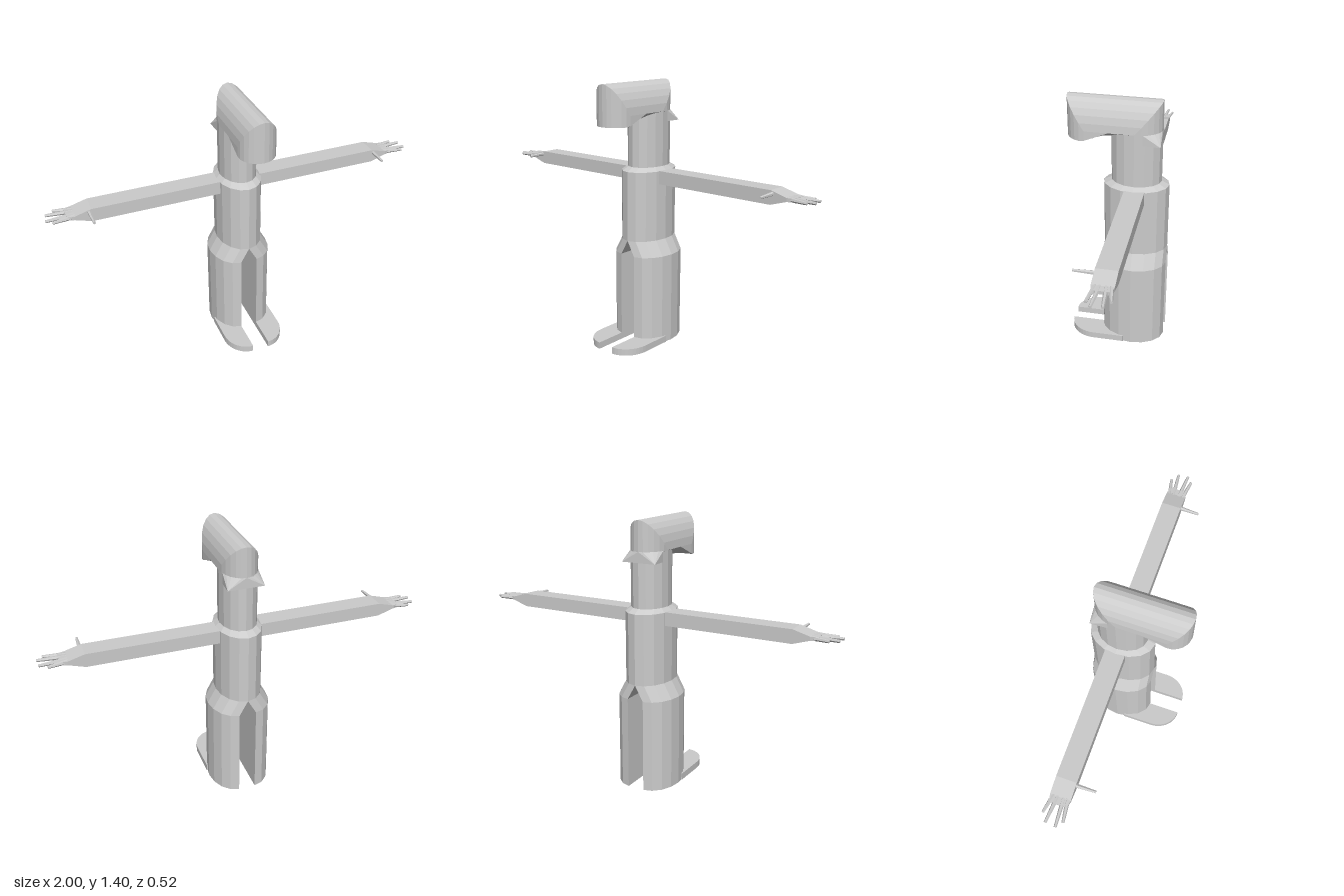
import * as THREE from 'three';

const mat = new THREE.MeshStandardMaterial({ color: 0xcccccc, flatShading: true, side: THREE.DoubleSide });
const CZ = -0.09; // depth of the body's axis

function mesh(name, geo) {
  const m = new THREE.Mesh(geo, mat);
  m.name = name;
  return m;
}

// Collects quads and triangles from points given counter-clockwise
function builder() {
  const pos = [];
  const tri = (...p) => p.forEach(v => pos.push(...v));
  const quad = (a, b, c, d) => { tri(a, b, c); tri(a, c, d); };
  const geometry = () => {
    const g = new THREE.BufferGeometry();
    g.setAttribute('position', new THREE.Float32BufferAttribute(pos, 3));
    g.computeVertexNormals();
    return g;
  };
  return { tri, quad, geometry };
}

// Closed surface through equal-length loops, with flat end caps
function loft(rings) {
  const b = builder(), n = rings[0].length;
  for (let k = 0; k + 1 < rings.length; k++)
    for (let i = 0; i < n; i++) {
      const j = (i + 1) % n;
      b.quad(rings[k][i], rings[k][j], rings[k + 1][j], rings[k + 1][i]);
    }
  const last = rings[rings.length - 1];
  for (let i = 1; i + 1 < n; i++) {
    b.tri(rings[0][0], rings[0][i + 1], rings[0][i]);
    b.tri(last[0], last[i], last[i + 1]);
  }
  return b.geometry();
}

// Half body: D-shaped sections, apart at the leg and joined at the torso
function halfBody() {
  const levels = [ // y, inner x, half width, half depth
    [0, 0.045, 0.118, 0.17], [0.49, 0.045, 0.118, 0.17], [0.57, 0, 0.118, 0.17],
    [0.94, 0, 0.118, 0.17], [0.96, 0, 0.095, 0.13],
  ];
  return loft(levels.map(([y, x0, a, b]) => Array.from({ length: 9 }, (_, i) => {
    const t = Math.PI / 2 - i * Math.PI / 8;
    return [x0 + a * Math.cos(t), y, CZ + b * Math.sin(t)];
  })));
}

// Flat sole with a rounded outer toe
function shoe() {
  const s = new THREE.Shape();
  s.moveTo(0.045, 0.05);
  s.lineTo(0.163, 0.05);
  s.lineTo(0.163, -0.12);
  s.absellipse(0.045, -0.12, 0.118, 0.135, 0, -Math.PI / 2, true);
  s.closePath();
  const g = new THREE.ExtrudeGeometry(s, { depth: 0.036, bevelEnabled: false, curveSegments: 5 });
  return g.rotateX(-Math.PI / 2);
}

// Arm bar that thins towards the hand
function arm() {
  const sections = [ // x, low y, high y, back z, front z
    [0.08, 0.872, 0.942, -0.147, -0.043], [0.78, 0.872, 0.942, -0.147, -0.043],
    [0.865, 0.899, 0.918, -0.147, -0.043], [0.9, 0.9, 0.917, -0.14, -0.05],
  ];
  return loft(sections.map(([x, y0, y1, z0, z1]) =>
    [[x, y0, z0], [x, y1, z0], [x, y1, z1], [x, y0, z1]]));
}

// Tapered hexagonal digit between two points
function digit(from, to, r) {
  const a = new THREE.Vector3(...from), d = new THREE.Vector3(...to).sub(a);
  const g = new THREE.CylinderGeometry(r * 0.6, r, d.length(), 6);
  g.applyQuaternion(new THREE.Quaternion().setFromUnitVectors(
    new THREE.Vector3(0, 1, 0), d.clone().normalize()));
  return g.translate(...a.addScaledVector(d, 0.5).toArray());
}

// Arched head, rounded in plan at both ends, with a keeled underside
function head() {
  const b = builder(), n = 12, grid = [];
  for (let i = 0; i <= n; i++) {
    const t = -Math.PI / 2 + i * Math.PI / n, c = Math.cos(t);
    const x = 0.095 * Math.sin(t), top = 1.245 + 0.155 * c;
    const front = 0.16 + 0.1 * c;
    const zs = [CZ - 0.13 * c, 0.04, Math.min(0.17, front - 0.002), front];
    grid.push(zs.map(z => {
      const rise = THREE.MathUtils.clamp((0.17 - z) / 0.13, 0, 1);
      const low = 1.19 + 0.055 * rise * Math.abs(x) / 0.095;
      return { top: [x, Math.max(top, low), z], low: [x, low, z] };
    }));
  }
  for (let i = 0; i < n; i++) {
    const p = grid[i], q = grid[i + 1];
    for (let k = 0; k < 3; k++) {
      b.quad(p[k].top, p[k + 1].top, q[k + 1].top, q[k].top);
      b.quad(p[k].low, q[k].low, q[k + 1].low, p[k + 1].low);
    }
    b.quad(p[0].low, p[0].top, q[0].top, q[0].low);
    b.quad(p[3].low, q[3].low, q[3].top, p[3].top);
  }
  for (let k = 0; k < 3; k++) {
    const l = grid[0], r = grid[n];
    b.quad(l[k].low, l[k + 1].low, l[k + 1].top, l[k].top);
    b.quad(r[k].low, r[k].top, r[k + 1].top, r[k + 1].low);
  }
  return b.geometry();
}

// Pointed corner at the back of the head, fanned out from the neck
function corner() {
  const b = builder(), tip = [0.095, 1.19, -0.22], n = 5;
  const at = (i, y) => {
    const t = i / n * 1.25;
    return [0.095 * Math.sin(t), y, CZ - 0.13 * Math.cos(t)];
  };
  for (let i = 0; i < n; i++) {
    b.tri(tip, at(i, 1.245), at(i + 1, 1.245));
    b.tri(tip, at(i + 1, 1.19), at(i, 1.19));
  }
  b.tri(tip, at(0, 1.19), at(0, 1.245));
  b.tri(tip, at(n, 1.245), at(n, 1.19));
  return b.geometry();
}

export function createModel() {
  const model = new THREE.Group();
  model.name = 'figure';

  // Paired parts
  for (const [label, sign] of [['left', 1], ['right', -1]]) {
    const side = new THREE.Group();
    side.name = label + 'Side';
    side.scale.x = sign;
    side.add(mesh('legAndTorso', halfBody()), mesh('shoe', shoe()), mesh('arm', arm()),
      mesh('headCorner', corner()));

    // Hand: four fanned fingers and a thumb pointing forward
    const fingers = [[-0.13, -0.15, 0.955], [-0.11, -0.122, 0.995], [-0.08, -0.07, 1], [-0.06, -0.043, 0.97]];
    fingers.forEach(([z0, z1, x]) =>
      side.add(mesh('finger', digit([0.86, 0.909, z0], [x, 0.908, z1], 0.012))));
    side.add(mesh('thumb', digit([0.79, 0.926, -0.06], [0.787, 0.924, 0.055], 0.011)));
    model.add(side);
  }

  // Neck
  const neck = new THREE.CylinderGeometry(1, 1, 0.295, 16, 1, true);
  neck.scale(0.095, 1, 0.13).translate(0, 1.1025, CZ);
  model.add(mesh('neck', neck), mesh('head', head()));
  return model;
}
